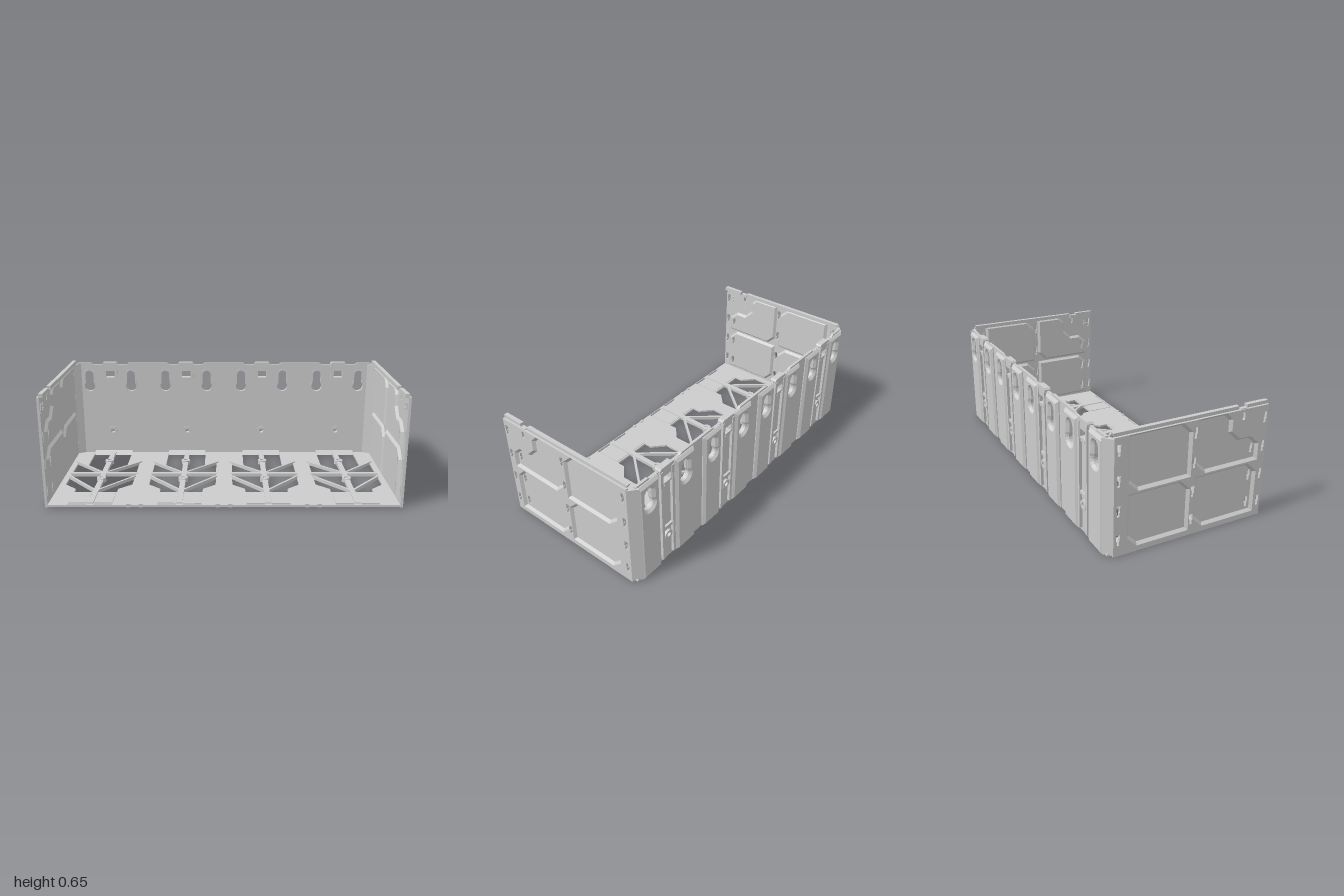
import * as THREE from 'three';

const mat = new THREE.MeshStandardMaterial({ color: 0xcccccc, flatShading: true, side: THREE.DoubleSide });
const CENTRES = [-0.75, -0.25, 0.25, 0.75];

export function createModel() {
  const root = new THREE.Group();
  const add = (name, geo, parent = root) => {
    const m = new THREE.Mesh(geo, mat);
    m.name = name;
    parent.add(m);
    return m;
  };
  // box from min/max corners
  const box = (x0, x1, y0, y1, z0, z1) =>
    new THREE.BoxGeometry(x1 - x0, y1 - y0, z1 - z0).translate((x0 + x1) / 2, (y0 + y1) / 2, (z0 + z1) / 2);
  const vecs = (pts) => pts.map(([a, b]) => new THREE.Vector2(a, b));
  const rect = (a0, a1, b0, b1) => [[a0, b0], [a1, b0], [a1, b1], [a0, b1]];
  const extrude = (pts, holes, depth, extra = {}) => {
    const s = new THREE.Shape(vecs(pts));
    s.holes = holes.map((h) => new THREE.Path(vecs(h)));
    return new THREE.ExtrudeGeometry(s, { depth, bevelEnabled: false, ...extra });
  };
  const circle = (x, y, r, n = 16) =>
    Array.from({ length: n }, (_, i) => [x + r * Math.cos((i / n) * 2 * Math.PI), y + r * Math.sin((i / n) * 2 * Math.PI)]);
  // narrow rounded top, wide rounded bottom
  const keyhole = (x, grow = 0) => {
    const pts = [], r = 0.026 + grow, R = 0.034 + grow;
    for (let i = 0; i <= 8; i++) pts.push([x + r * Math.cos((i * Math.PI) / 8), 0.558 + r * Math.sin((i * Math.PI) / 8)]);
    const a = Math.acos(r / R);
    for (let i = 0; i <= 12; i++) {
      const t = Math.PI - a + (i / 12) * (Math.PI + 2 * a);
      pts.push([x + R * Math.cos(t), 0.48 + R * Math.sin(t)]);
    }
    return pts;
  };
  const ring = (r0, r1, h) => extrude(circle(0, 0, r1), [circle(0, 0, r0)], h);

  // ---------- floor ----------
  const floorHoles = [];
  for (const c of CENTRES) {
    const half = [[0.125, 0.43], [0.125, 0.16], [0.2, 0.235], [0.2, -0.16], [0.125, -0.23], [0.125, -0.28]];
    floorHoles.push([...half.map(([x, s]) => [c + x, s]), ...half.map(([x, s]) => [c - x, s]).reverse()]);
    floorHoles.push(rect(c - 0.125, c - 0.02, -0.46, -0.447), rect(c + 0.02, c + 0.125, -0.46, -0.447));
  }
  add('floor', extrude(rect(-0.985, 0.985, -0.465, 0.445), floorHoles, 0.012).rotateX(-Math.PI / 2).translate(0, 0.004, 0));

  const bar = (x0, z0, x1, z1, w) => {
    const g = new THREE.BoxGeometry(Math.hypot(x1 - x0, z1 - z0), 0.02, w);
    return g.rotateY(-Math.atan2(z1 - z0, x1 - x0)).translate((x0 + x1) / 2, 0.012, (z0 + z1) / 2);
  };
  for (const c of CENTRES) {
    const bay = new THREE.Group();
    bay.name = 'floorBay';
    root.add(bay);
    add('centreRib', bar(c, -0.43, c, 0.445, 0.032), bay);
    add('crossRib', bar(c - 0.21, -0.022, c + 0.21, -0.022, 0.024), bay);
    for (const s of [-1, 1]) {
      add('backDiagonalRib', bar(c + s * 0.21, -0.235, c, -0.025, 0.014), bay);
      add('frontDiagonalRib', bar(c + s * 0.2, 0.03, c, 0.265, 0.014), bay);
      add('frontPad', box(c + s * 0.07 - 0.052, c + s * 0.07 + 0.052, 0.004, 0.019, 0.29, 0.442), bay);
    }
    for (const z of [-0.245, 0.07]) add('floorBoss', ring(0.014, 0.028, 0.026).rotateX(-Math.PI / 2).translate(c, 0.001, z), bay);
    // sloped foot where the back wall meets the floor
    add('backFoot', extrude([[0.405, 0.004], [0.435, 0.004], [0.435, 0.035]], [], 0.25).rotateY(Math.PI / 2).translate(c - 0.125, 0, 0), bay);
  }
  // runners below the floor between the bays
  for (const x of [-0.5, 0, 0.5])
    for (const s of [-1, 1]) {
      add('floorRunner', box(x + s * 0.035 - 0.01, x + s * 0.035 + 0.01, 0, 0.006, -0.44, 0.465));
      add('frontStop', box(x + s * 0.035 - 0.012, x + s * 0.035 + 0.012, 0.004, 0.021, 0.45, 0.465));
    }

  // ---------- back wall ----------
  const top = [[0.96, 0.635]];
  for (const c of [...CENTRES].reverse())
    top.push([c + 0.125, 0.635], [c + 0.11, 0.625], [c - 0.11, 0.625], [c - 0.125, 0.635]);
  const wallHoles = [];
  for (const c of CENTRES)
    wallHoles.push(keyhole(c - 0.138), keyhole(c + 0.135), rect(c - 0.028, c + 0.028, 0.54, 0.583), circle(c, 0.17, 0.014));
  add('backWall', extrude([[-0.96, 0], [0.96, 0], ...top, [-0.96, 0.635]], wallHoles, 0.015).translate(0, 0, -0.445));

  for (const c of CENTRES) {
    const bay = new THREE.Group();
    bay.name = 'backBay';
    root.add(bay);
    for (const d of [-0.138, 0.135]) {
      // chamfered vertical rib around each keyhole
      const x = c + d;
      add('keyholeRib', extrude(rect(x - 0.06, x + 0.06, 0.015, 0.61), [keyhole(x, 0.014)], 0.005,
        { bevelEnabled: true, bevelThickness: 0.0145, bevelSize: 0.014, bevelSegments: 1 }).translate(0, 0, -0.4505), bay);
      add('keyholeRim', extrude(keyhole(x, 0.008), [keyhole(x)], 0.004).translate(0, 0, -0.431), bay);
    }
    for (const s of [-1, 1]) add('clipRail', box(c + s * 0.042 - 0.009, c + s * 0.042 + 0.009, 0.02, 0.62, -0.461, -0.44), bay);
    add('clipFrame', extrude([[c - 0.05, 0.53], [c + 0.05, 0.53], [c + 0.05, 0.63], [c + 0.042, 0.64], [c - 0.042, 0.64], [c - 0.05, 0.63]],
      [rect(c - 0.028, c + 0.028, 0.54, 0.583)], 0.035).translate(0, 0, -0.457), bay);
    add('clipTongue', box(c - 0.02, c + 0.02, 0.518, 0.53, -0.457, -0.42), bay);
    add('railBridge', box(c - 0.04, c + 0.04, 0.22, 0.24, -0.457, -0.44), bay);
    add('wallBoss', ring(0.014, 0.029, 0.034).translate(c, 0.17, -0.459), bay);
  }

  // ---------- side walls ----------
  // u runs towards the back (u = -z), v is height
  const chamfered = (u0, u1, v0, v1) =>
    [[u0, v0], [u1 - 0.055, v0], [u1, v0 + 0.055], [u1, v1], [u0 + 0.057, v1], [u0, v1 - 0.057]];
  const panels = [
    chamfered(-0.01, 0.345, 0.335, 0.635), chamfered(-0.01, 0.345, 0.03, 0.325), chamfered(-0.42, -0.04, 0.03, 0.325),
    [[-0.42, 0.335], [-0.095, 0.335], [-0.04, 0.39], [-0.04, 0.635], [-0.205, 0.635], [-0.245, 0.595],
      [-0.245, 0.53], [-0.295, 0.48], [-0.365, 0.48], [-0.42, 0.43]],
  ];
  const slot = (u, v) => [[u - 0.006, v - 0.03], [u + 0.006, v - 0.03], [u + 0.006, v - 0.008], [u + 0.01, v - 0.008],
    [u + 0.01, v + 0.028], [u - 0.01, v + 0.028], [u - 0.01, v - 0.008], [u - 0.006, v - 0.008]];
  // mitred inset of a counter-clockwise outline
  const inset = (pts, d) => pts.map((p, i) => {
    const a = pts[(i + pts.length - 1) % pts.length], b = pts[(i + 1) % pts.length];
    const n = (s, e) => { const l = Math.hypot(e[0] - s[0], e[1] - s[1]); return [-(e[1] - s[1]) / l, (e[0] - s[0]) / l]; };
    const n1 = n(a, p), n2 = n(p, b), k = d / (1 + n1[0] * n2[0] + n1[1] * n2[1]);
    return [p[0] + k * (n1[0] + n2[0]), p[1] + k * (n1[1] + n2[1])];
  });
  // sloping strip between two outlines at different depths
  const strip = (A, xa, B, xb) => {
    const pos = [];
    A.forEach((p, i) => {
      const j = (i + 1) % A.length;
      const a = [xa, p[1], -p[0]], b = [xa, A[j][1], -A[j][0]], c = [xb, B[j][1], -B[j][0]], d = [xb, B[i][1], -B[i][0]];
      pos.push(...a, ...b, ...c, ...a, ...c, ...d);
    });
    const g = new THREE.BufferGeometry();
    g.setAttribute('position', new THREE.Float32BufferAttribute(pos, 3));
    g.computeVertexNormals();
    return g;
  };
  const sideExtrude = (pts, holes, x0, x1) => extrude(pts, holes, x1 - x0).rotateY(Math.PI / 2).translate(x0, 0, 0);

  const left = new THREE.Group();
  left.name = 'leftSide';
  const slots = [];
  for (const u of [-0.445, -0.025, 0.395]) for (const v of [0.57, 0.41, 0.25, 0.09]) slots.push(slot(u, v));
  const oval = circle(-0.31, 0.6, 0.008).map(([u, v]) => [u, v > 0.6 ? v + 0.013 : v - 0.013]);
  add('sideSheet', sideExtrude(rect(-0.465, 0.42, 0, 0.636), [...slots, oval, ...panels], 0.985, 1), left);
  panels.forEach((p, i) => {
    const q = inset(p, 0.014);
    const holes = i === 2 ? [slot(-0.383, 0.25), slot(-0.383, 0.09)] : i === 3 ? [slot(-0.383, 0.41)] : [];
    add('recessedPanel', sideExtrude(q, holes, 0.97, 0.985), left);
    add('outerBevel', strip(p, 1, q, 0.985), left);
    add('innerBevel', strip(p, 0.985, q, 0.97), left);
  });
  // top rail in two lengths with a gap
  add('frontRail', box(0.965, 0.988, 0.632, 0.654, 0.335, 0.465), left);
  add('backRail', sideExtrude([[-0.285, 0.632], [0.41, 0.632], [0.42, 0.654], [-0.285, 0.654]], [], 0.965, 0.988), left);
  add('railLatch', box(0.972, 0.995, 0.62, 0.64, 0.295, 0.33), left);
  for (const z of [0.412, -0.365])
    for (const y of [0.56, 0.585]) add('sideClip', box(0.978, 1.0, y - 0.007, y + 0.007, z - 0.008, z + 0.008), left);
  // chamfered back corner
  add('backCorner', extrude([[1, 0.42], [0.95, 0.462], [0.94, 0.43], [0.985, 0.41]], [], 0.62).rotateX(-Math.PI / 2).translate(0, 0.008, 0), left);
  root.add(left);

  // mirrored copy with winding kept outward
  const right = new THREE.Group();
  right.name = 'rightSide';
  for (const m of left.children) {
    const g = m.geometry.index ? m.geometry.toNonIndexed() : m.geometry.clone();
    const p = g.attributes.position;
    for (let i = 0; i < p.count; i += 3) {
      const [a, b, c] = [0, 2, 1].map((k) => new THREE.Vector3().fromBufferAttribute(p, i + k));
      [a, b, c].forEach((v, k) => p.setXYZ(i + k, -v.x, v.y, v.z));
    }
    g.computeVertexNormals();
    add(m.name, g, right);
  }
  root.add(right);
  return root;
}
